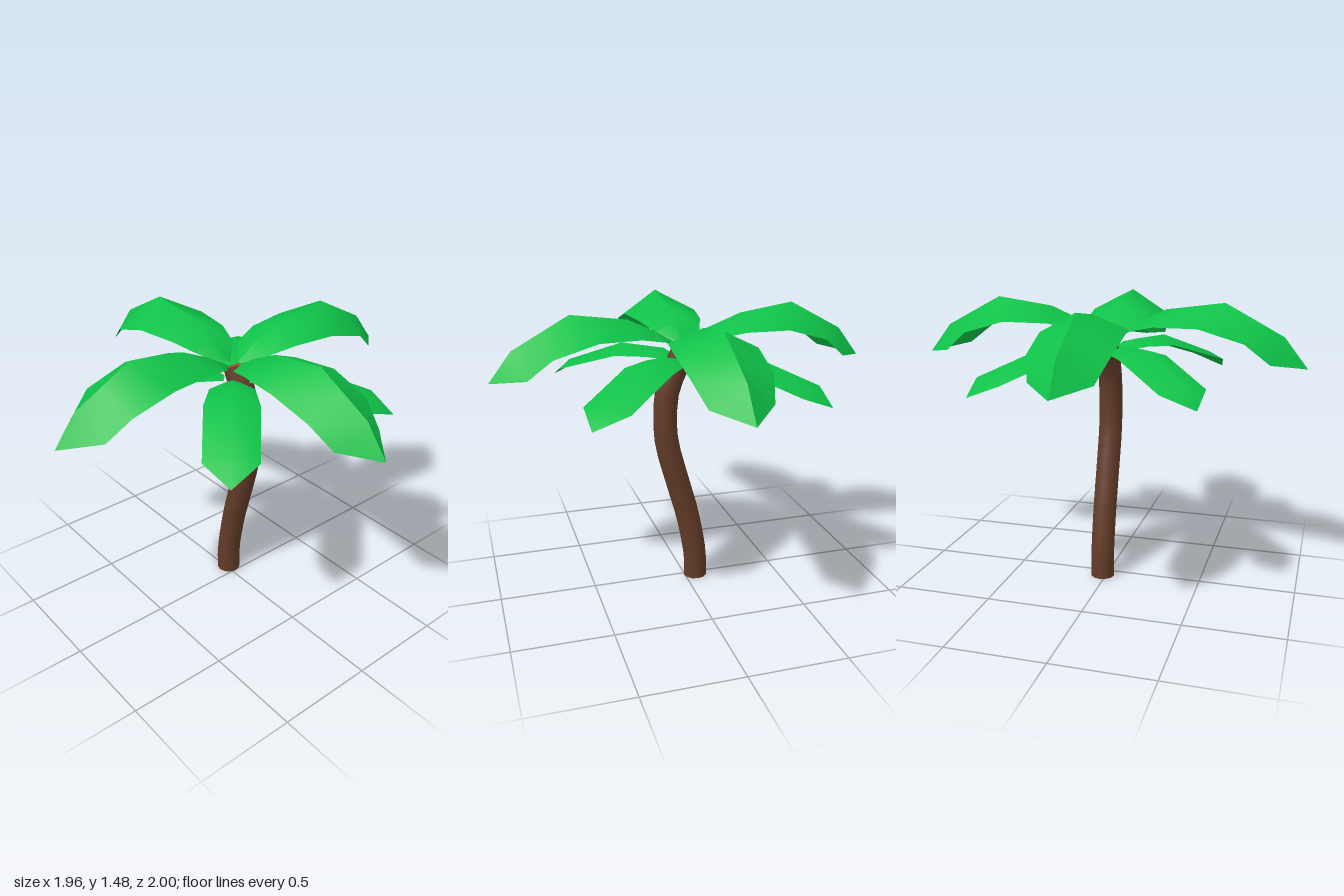
import * as THREE from 'three';
import { toCreasedNormals } from 'three/addons/utils/BufferGeometryUtils.js';

const leafGreen = new THREE.MeshStandardMaterial({ color: 0x0fc248, side: THREE.DoubleSide });
leafGreen.name = 'leafGreen';
const bark = new THREE.MeshStandardMaterial({ color: 0x633c28 });
bark.name = 'bark';
const cutWood = new THREE.MeshStandardMaterial({ color: 0xa8532e });
cutWood.name = 'cutWood';

// Frond rows: [spine reach, spine height, edge reach, edge height, half width]
const UPPER = [
  [0.03, 1.295, 0.05, 1.285, 0.03],
  [0.16, 1.375, 0.14, 1.34, 0.12],
  [0.30, 1.44, 0.27, 1.37, 0.165],
  [0.59, 1.48, 0.49, 1.375, 0.2],
  [0.74, 1.40, 0.71, 1.31, 0.188],
  [0.88, 1.325, 0.83, 1.21, 0.147],
  [0.998, 1.175, 0.998, 1.175, 0],
];
const LOWER = [
  [0.04, 1.23, 0.04, 1.215, 0.03],
  [0.18, 1.268, 0.17, 1.24, 0.11],
  [0.36, 1.275, 0.33, 1.235, 0.133],
  [0.68, 1.155, 0.67, 1.13, 0.128],
  [0.78, 1.065, 0.78, 1.065, 0],
];

// A folded leaf pointing along +z: left edge, spine and right edge for every row
function frondGeometry(rows) {
  const positions = [];
  const index = [];
  rows.forEach(([sr, sy, er, ey, w], i) => {
    positions.push(-w, ey, er, 0, sy, sr, w, ey, er);
    if (i === 0) return;
    const p = (i - 1) * 3, q = i * 3;
    for (let k = 0; k < 2; k++) {
      if (w > 0) {
        index.push(p + k, q + k, q + k + 1, p + k, q + k + 1, p + k + 1);
      } else {
        index.push(p + k, q + 1, p + k + 1); // pointed tip
      }
    }
  });
  const geometry = new THREE.BufferGeometry();
  geometry.setAttribute('position', new THREE.Float32BufferAttribute(positions, 3));
  geometry.setIndex(index);
  return toCreasedNormals(geometry, 0.78);
}

function addFrond(group, name, geometry, dx, dz, reach = 1) {
  const frond = new THREE.Mesh(geometry, leafGreen);
  frond.name = name;
  frond.position.set(-0.005, 0, -0.005);
  frond.rotation.y = Math.atan2(dx, dz);
  frond.scale.z = reach;
  group.add(frond);
}

function createTrunk() {
  const trunk = new THREE.Group();
  trunk.name = 'trunk';
  const radius = 0.063;
  const path = new THREE.CatmullRomCurve3([
    [-0.058, 0], [-0.057, 0.12], [-0.013, 0.37], [0.042, 0.57],
    [0.102, 0.82], [0.093, 1.07], [0.04, 1.2], [0.0, 1.285],
  ].map(([x, y]) => new THREE.Vector3(x, y, -0.02)));

  const stem = new THREE.Mesh(new THREE.TubeGeometry(path, 16, radius, 12), bark);
  stem.name = 'stem';
  trunk.add(stem);

  // Cut ends
  for (const [name, t, sign] of [['trunkBase', 0, -1], ['trunkTop', 1, 1]]) {
    const cap = new THREE.Mesh(new THREE.CircleGeometry(radius, 12), cutWood);
    cap.name = name;
    cap.position.copy(path.getPointAt(t));
    const facing = path.getTangentAt(t).multiplyScalar(sign);
    cap.quaternion.setFromUnitVectors(new THREE.Vector3(0, 0, 1), facing);
    trunk.add(cap);
  }
  return trunk;
}

export function createModel() {
  const palm = new THREE.Group();
  palm.name = 'palmTree';
  palm.add(createTrunk());

  const crown = new THREE.Group();
  crown.name = 'crown';
  palm.add(crown);

  // Four long arching fronds
  const upper = frondGeometry(UPPER);
  addFrond(crown, 'frontFrond', upper, 0, 1);
  addFrond(crown, 'backFrond', upper, 0, -1);
  addFrond(crown, 'leftFrond', upper, 1, -0.03, 0.983);
  addFrond(crown, 'rightFrond', upper, -1, 0.03, 0.983);

  // Four short drooping fronds between them
  const lower = frondGeometry(LOWER);
  addFrond(crown, 'lowerFrontRightFrond', lower, -0.545, 0.56);
  addFrond(crown, 'lowerBackLeftFrond', lower, 0.59, -0.555, 1.03);
  addFrond(crown, 'lowerBackRightFrond', lower, -0.575, -0.525);
  addFrond(crown, 'lowerFrontLeftFrond', lower, 0.595, 0.5);

  return palm;
}
